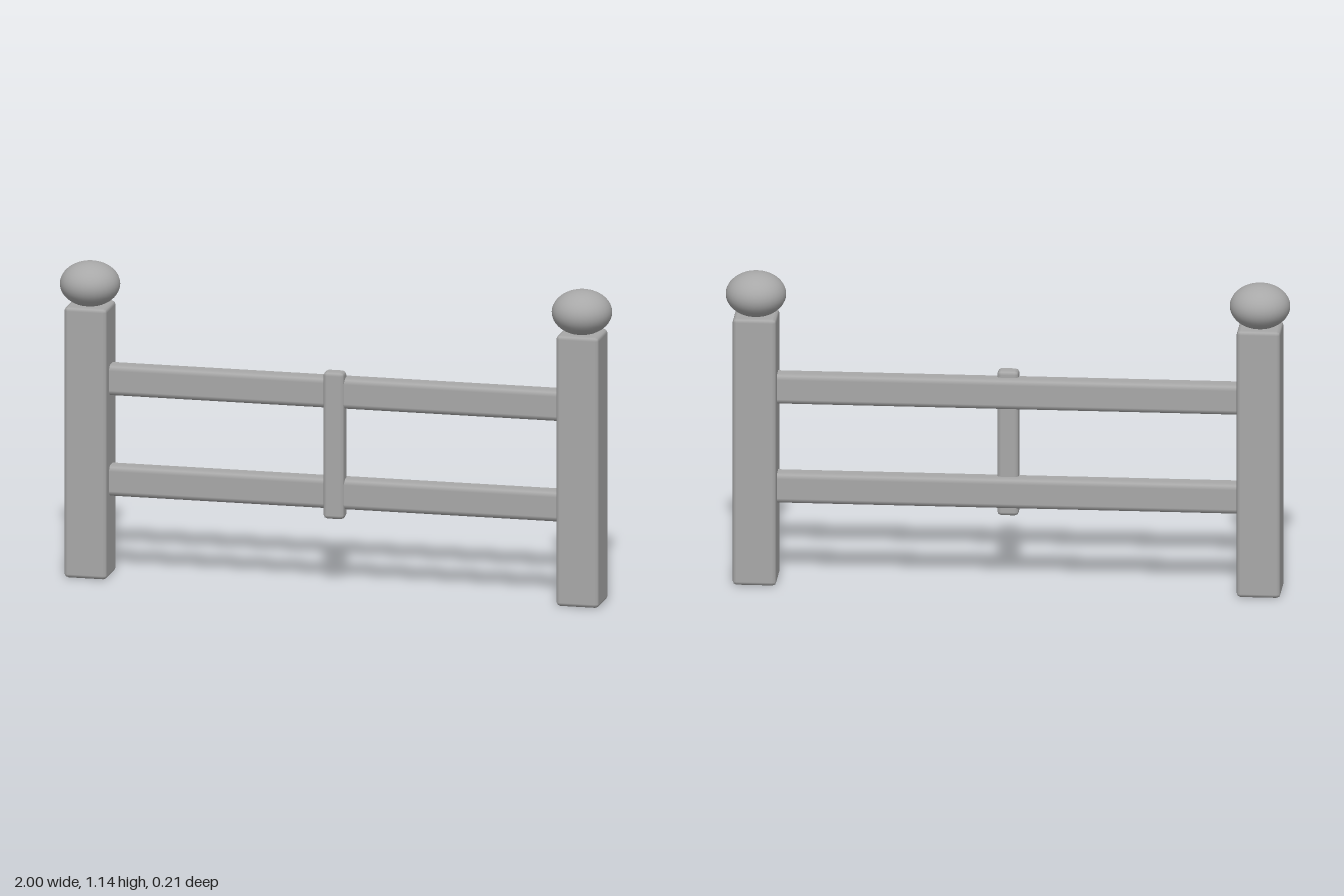
import * as THREE from 'three';
import { RoundedBoxGeometry } from 'three/addons/geometries/RoundedBoxGeometry.js';

export function createModel() {
  const group = new THREE.Group();
  const grey = new THREE.MeshStandardMaterial({ color: 0xa8a8a8 });
  grey.name = 'grey';

  const add = (name, geometry, x, y, z) => {
    const mesh = new THREE.Mesh(geometry, grey);
    mesh.name = name;
    mesh.position.set(x, y, z);
    group.add(mesh);
    return mesh;
  };

  // Square posts with softened edges, each topped by a flattened ball
  const post = new RoundedBoxGeometry(0.155, 0.985, 0.155, 1, 0.014);
  const ball = new THREE.SphereGeometry(0.107, 32, 20);
  for (const [side, s] of [['left', 1], ['right', -1]]) {
    add(side + 'Post', post, s * 0.893, 0.4925, 0);
    add(side + 'Finial', ball, s * 0.893, 1.058, 0).scale.y = 0.75;
  }

  // Two horizontal rails running into the posts
  const rail = new RoundedBoxGeometry(1.72, 0.112, 0.075, 1, 0.02);
  add('upperRail', rail, 0, 0.716, -0.002);
  add('lowerRail', rail, 0, 0.35, -0.002);

  // Upright brace set into the front of the rails
  add('centreBrace', new RoundedBoxGeometry(0.076, 0.535, 0.056, 1, 0.014), 0, 0.528, 0.017);

  return group;
}
